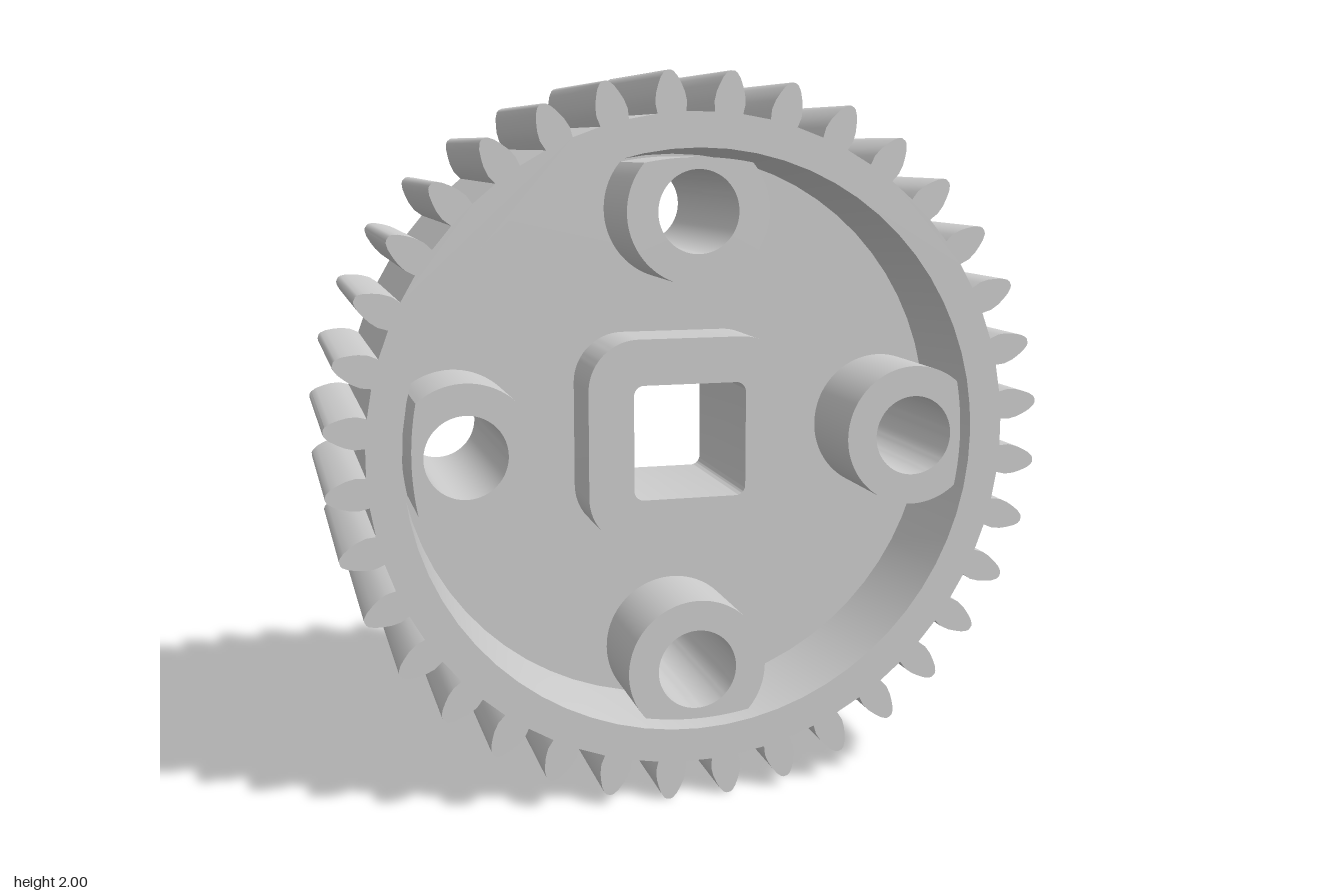
import * as THREE from 'three';
import { toCreasedNormals } from 'three/addons/utils/BufferGeometryUtils.js';

const TEETH = 36;
const HALF = 0.317;      // half width of the gear
const BOSS_R = 0.197, BOSS_D = 0.632, BOSS_CLIP = 0.775;

export function createModel() {
  const gear = new THREE.Group();
  gear.name = 'gearWheel';
  const material = new THREE.MeshStandardMaterial({ color: 0xcccccc });

  // Extrudes a shape symmetrically about z = 0
  const extrude = (shape, half, curveSegments = 12, steps = 1) => {
    const g = new THREE.ExtrudeGeometry(shape, { depth: half * 2, bevelEnabled: false, curveSegments, steps });
    return g.translate(0, 0, -half);
  };
  const addPart = (name, geometry) => {
    const mesh = new THREE.Mesh(toCreasedNormals(geometry, 0.55), material);
    mesh.name = name;
    gear.add(mesh);
    return mesh;
  };
  const circle = (x, y, r) => new THREE.Path().absarc(x, y, r, 0, Math.PI * 2, true);
  const roundedSquare = (path, h, r) => {
    path.absarc(h - r, h - r, r, 0, Math.PI / 2);
    path.absarc(r - h, h - r, r, Math.PI / 2, Math.PI);
    path.absarc(r - h, r - h, r, Math.PI, Math.PI * 1.5);
    path.absarc(h - r, r - h, r, Math.PI * 1.5, Math.PI * 2);
    path.closePath();
    return path;
  };

  // Toothed rim: half a tooth as [radius, half width], mirrored and repeated
  const flank = [[0.893, 0.039], [0.92, 0.043], [0.945, 0.039], [0.965, 0.032], [0.985, 0.023], [0.998, 0.013], [1.002, 0.006]];
  const profile = [
    ...flank.map(([r, w]) => [r, -w]),
    ...flank.map(([r, w]) => [r, w]).reverse(),
  ];
  const outline = [];
  for (let i = 0; i < TEETH; i++) {
    const a = ((i + 0.5) / TEETH) * Math.PI * 2;
    for (const [r, w] of profile) {
      outline.push(new THREE.Vector2(r * Math.cos(a) - w * Math.sin(a), r * Math.sin(a) + w * Math.cos(a)));
    }
  }
  const rimShape = new THREE.Shape(outline);
  rimShape.holes.push(circle(0, 0, 0.8));
  const rim = extrude(rimShape, HALF, 32, 2);
  // Draft of the inner wall: the middle layer is pulled inwards
  const p = rim.attributes.position;
  for (let i = 0; i < p.count; i++) {
    const r = Math.hypot(p.getX(i), p.getY(i));
    if (r < 0.85 && Math.abs(p.getZ(i)) < 0.01) {
      p.setXY(i, p.getX(i) * 0.78 / r, p.getY(i) * 0.78 / r);
    }
  }
  addPart('toothedRim', rim);

  // Thin web; its openings are covered by the hub and bosses
  const web = new THREE.Shape().absarc(0, 0, 0.79, 0, Math.PI * 2);
  web.holes.push(roundedSquare(new THREE.Path(), 0.22, 0.06));
  for (let i = 0; i < 4; i++) {
    const a = i * Math.PI / 2;
    web.holes.push(circle(BOSS_D * Math.cos(a), BOSS_D * Math.sin(a), 0.13));
  }
  addPart('web', extrude(web, 0.035, 32));

  // Square hub with a square shaft hole
  const hub = roundedSquare(new THREE.Shape(), 0.287, 0.14);
  hub.holes.push(roundedSquare(new THREE.Path(), 0.16, 0.028));
  addPart('hub', extrude(hub, 0.227, 10));

  // Four round bosses, trimmed where they meet the rim
  const cosB = (BOSS_CLIP ** 2 - BOSS_D ** 2 - BOSS_R ** 2) / (2 * BOSS_D * BOSS_R);
  const cut = Math.acos(cosB);
  const arc = Math.asin(BOSS_R * Math.sin(cut) / BOSS_CLIP);
  const boss = new THREE.Shape();
  boss.absarc(BOSS_D, 0, BOSS_R, cut, Math.PI * 2 - cut);
  boss.absarc(0, 0, BOSS_CLIP, -arc, arc);
  boss.holes.push(circle(BOSS_D, 0, 0.112));
  const bossGeometry = extrude(boss, 0.305, 36);
  for (let i = 0; i < 4; i++) {
    addPart('boss', bossGeometry).rotation.z = i * Math.PI / 2;
  }

  gear.position.y = 1;
  const model = new THREE.Group();
  model.name = 'gear';
  model.add(gear);
  return model;
}
